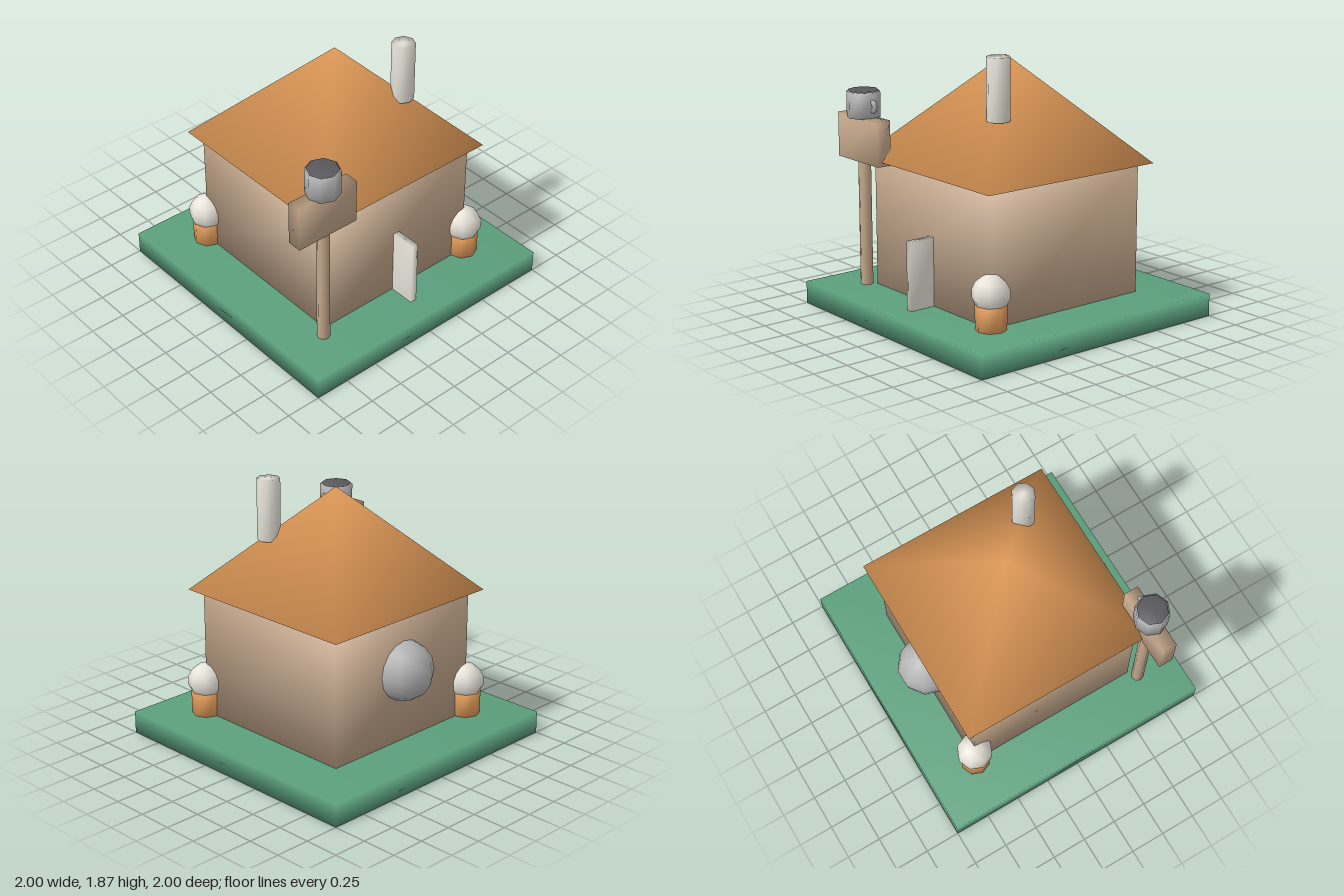
import * as THREE from 'three';
import { mergeVertices } from 'three/addons/utils/BufferGeometryUtils.js';

const GREEN = 0x5b9f7c, TAN = 0xc4a78b, ORANGE = 0xe09a58, CREAM = 0xe8e4da, GREY = 0xb4b4b4, DARK = 0x5a5a5e;

// Welds corners so the shading runs softly over the edges
function soften(geometry) {
  geometry.deleteAttribute('normal');
  geometry.deleteAttribute('uv');
  const welded = mergeVertices(geometry, 1e-4);
  welded.computeVertexNormals();
  return welded;
}

export function createModel() {
  const model = new THREE.Group();
  model.name = 'cottage';

  function add(name, geometry, color, x, y, z, parent = model) {
    const mesh = new THREE.Mesh(soften(geometry), new THREE.MeshStandardMaterial({ color }));
    mesh.name = name;
    mesh.position.set(x, y, z);
    parent.add(mesh);
    return mesh;
  }
  const box = (w, h, d) => new THREE.BoxGeometry(w, h, d);
  const drum = (rTop, rBottom, h, sides = 8) => new THREE.CylinderGeometry(rTop, rBottom, h, sides);

  // Lawn and house
  add('lawn', box(2, 0.16, 2), GREEN, 0, 0.08, 0);
  add('walls', box(1.28, 0.92, 1.28), TAN, 0, 0.615, 0);
  const roof = drum(0, 0.714 * Math.SQRT2, 0.735, 4).rotateY(Math.PI / 4);
  add('roof', roof, ORANGE, 0, 1.443, 0);
  add('chimney', drum(0.08, 0.08, 0.43), CREAM, 0.32, 1.655, 0.32);

  // Door standing open, and round window bulging from the back wall
  add('door', box(0.05, 0.48, 0.2), CREAM, 0, 0.4, 0.727);
  add('backWindow', new THREE.SphereGeometry(0.21, 10, 8), GREY, 0, 0.67, -0.64);

  // Potted bushes on two opposite corners
  for (const s of [1, -1]) {
    const plant = new THREE.Group();
    plant.name = s > 0 ? 'frontPlant' : 'backPlant';
    plant.position.set(0.64 * s, 0.16, 0.64 * s);
    model.add(plant);
    add('pot', drum(0.107, 0.105, 0.17), ORANGE, 0, 0.085, 0, plant);
    add('bush', new THREE.SphereGeometry(0.13, 8, 7), CREAM, 0, 0.24, 0, plant);
  }

  // Sign: post, board and a cup on top
  const sign = new THREE.Group();
  sign.name = 'sign';
  sign.position.set(-0.693, 0, 0.693);
  model.add(sign);
  add('signPost', drum(0.045, 0.045, 1.1), TAN, 0, 0.552, 0, sign);
  add('signBoard', box(0.475, 0.315, 0.105), TAN, 0, 1.203, 0, sign);
  add('cup', drum(0.118, 0.118, 0.18), GREY, 0, 1.447, 0, sign);
  add('drink', drum(0.106, 0.106, 0.02), DARK, 0, 1.537, 0, sign);
  add('cupHandle', new THREE.TorusGeometry(0.036, 0.019, 6, 8), GREY, 0.1, 1.443, 0, sign);

  return model;
}
